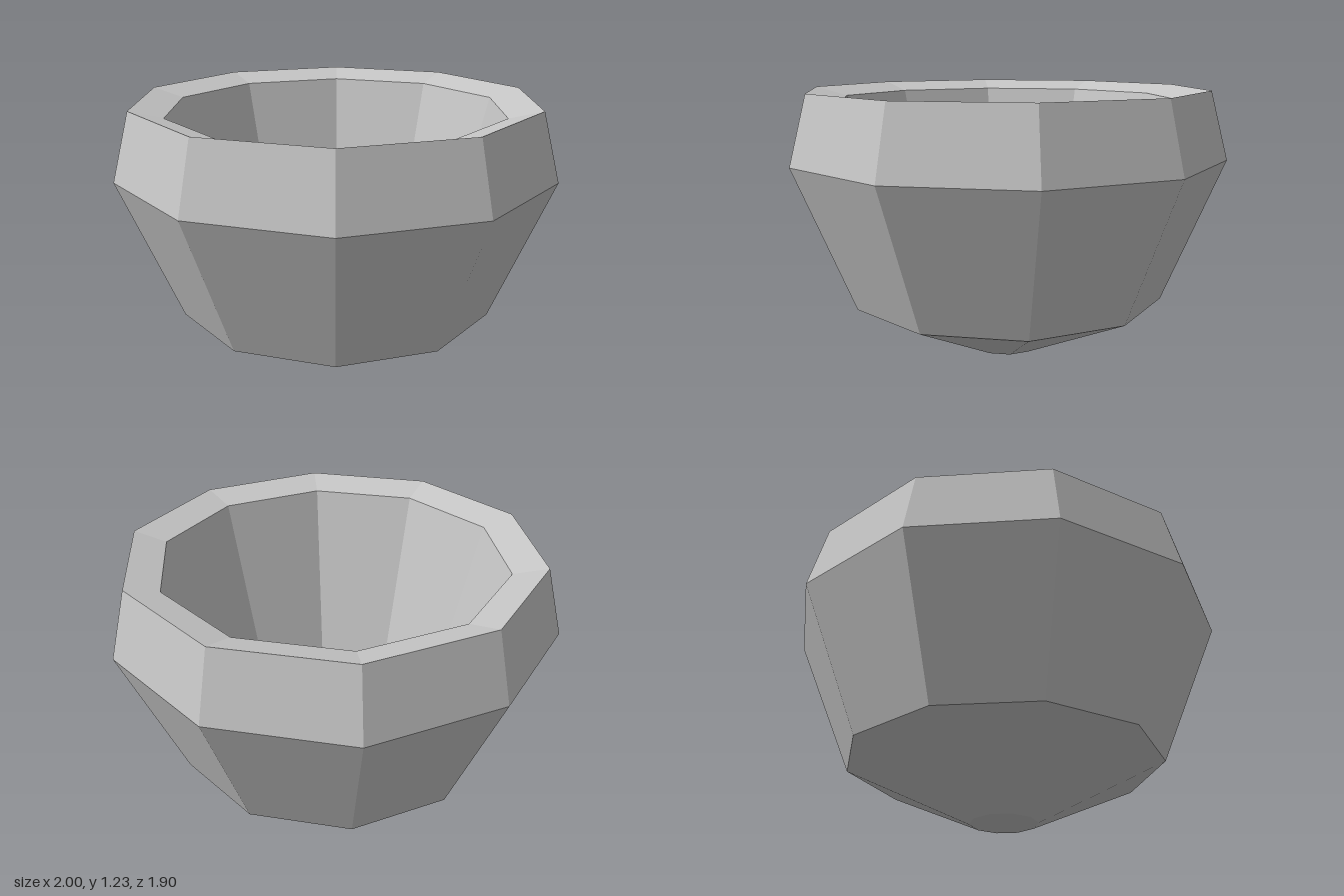
import * as THREE from 'three';

const SIDES = 10;

// Faceted ten-sided surface of revolution with a corner on the +x axis.
function facetedRing(name, profile, material) {
  const points = profile.map(([r, y]) => new THREE.Vector2(r, y));
  const lathe = new THREE.LatheGeometry(points, SIDES, Math.PI / 2);
  const geometry = lathe.toNonIndexed();
  geometry.computeVertexNormals();
  const mesh = new THREE.Mesh(geometry, material);
  mesh.name = name;
  return mesh;
}

export function createModel() {
  const group = new THREE.Group();
  group.name = 'bowl';

  const stone = new THREE.MeshStandardMaterial({ color: 0xc6c6c6 });
  stone.name = 'light grey';

  // Outside: small flat foot, shallow cone, flared wall, tapered collar
  const foot = [[0, 0], [0.155, 0], [0.73, 0.27]];
  const wall = [[0.73, 0.27], [1, 0.925]];
  const collar = [[1, 0.925], [0.92, 1.23]];
  // Inside: rim sloping inward, steep wall, shallow dished floor
  const rim = [[0.92, 1.23], [0.77, 1.19]];
  const innerWall = [[0.77, 1.19], [0.535, 0.3]];
  const innerFloor = [[0.535, 0.3], [0.075, 0.17], [0, 0.17]];

  const parts = { foot, wall, collar, rim, innerWall, innerFloor };
  for (const [name, profile] of Object.entries(parts)) {
    group.add(facetedRing(name, profile, stone));
  }
  return group;
}
